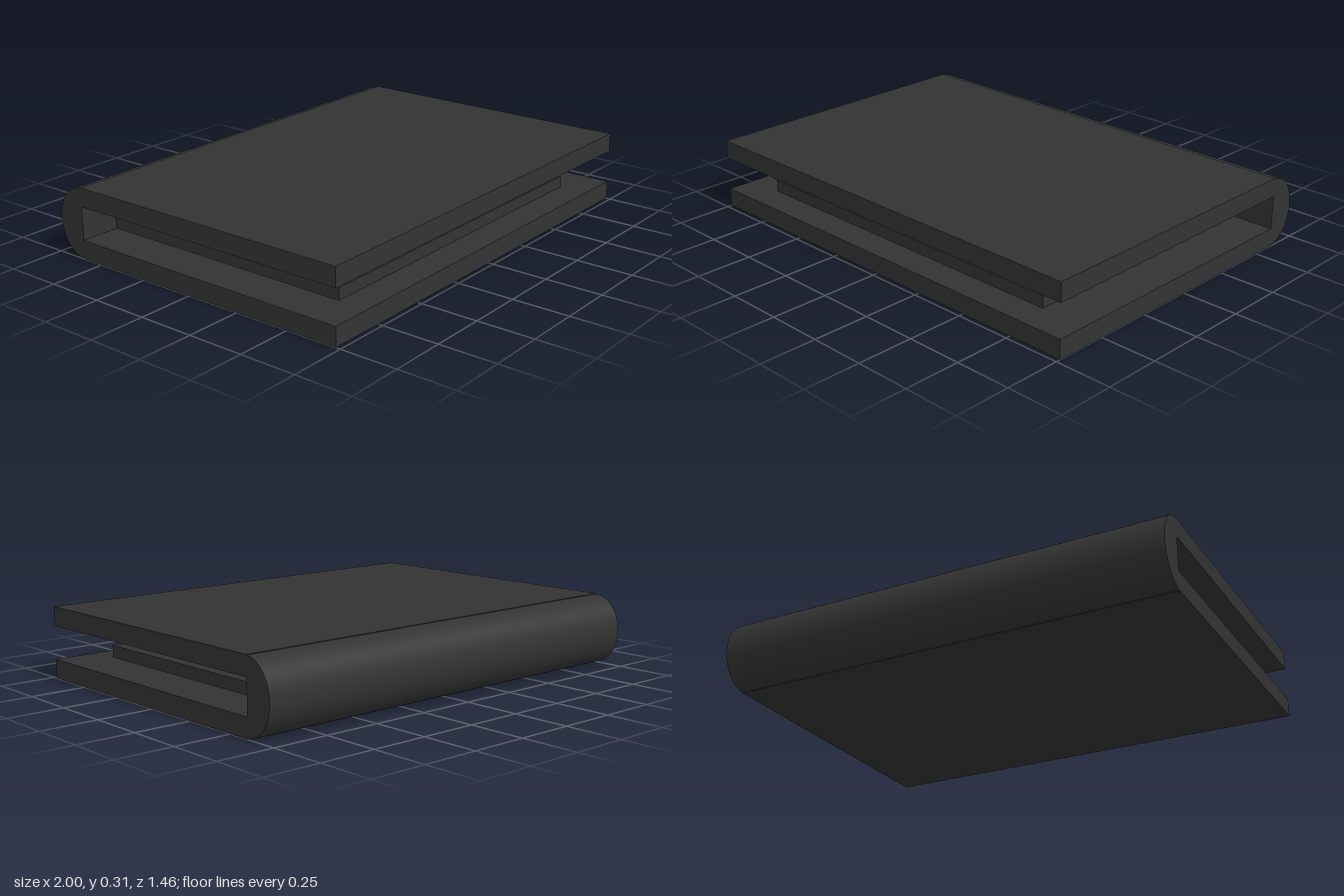
import * as THREE from 'three';

export function createModel() {
  const model = new THREE.Group();
  const material = new THREE.MeshStandardMaterial({ color: 0x333333 });

  const add = (name, geometry, x, y, z, parent = model) => {
    const mesh = new THREE.Mesh(geometry, material);
    mesh.name = name;
    mesh.position.set(x, y, z);
    parent.add(mesh);
  };

  const width = 2, height = 0.313, hinge = -0.6, front = 0.73;

  // Two flat covers, open at the front and sides
  const thickness = 0.083, depth = front - hinge;
  const cover = new THREE.BoxGeometry(width, thickness, depth);
  add('bottomCover', cover, 0, thickness / 2, (front + hinge) / 2);
  add('topCover', cover, 0, height - thickness / 2, (front + hinge) / 2);

  // Spine: half-elliptical roll with a flat inner face
  const spine = new THREE.Group();
  spine.name = 'spine';
  model.add(spine);
  const halfHeight = height / 2 - 0.003;
  const roll = new THREE.CylinderGeometry(1, 1, width, 32, 1, false, Math.PI / 2, Math.PI);
  roll.rotateZ(Math.PI / 2).scale(1, halfHeight, 0.13);
  add('spineRoll', roll, 0, height / 2, hinge, spine);
  add('spineInnerFace', new THREE.PlaneGeometry(width, halfHeight * 2), 0, height / 2, hinge, spine);

  // Two thin page blocks held between the covers
  const page = new THREE.BoxGeometry(1.615, 0.052, 1.2);
  add('lowerPages', page, -0.012, 0.11, 0);
  add('upperPages', page, -0.012, 0.183, 0);

  return model;
}
